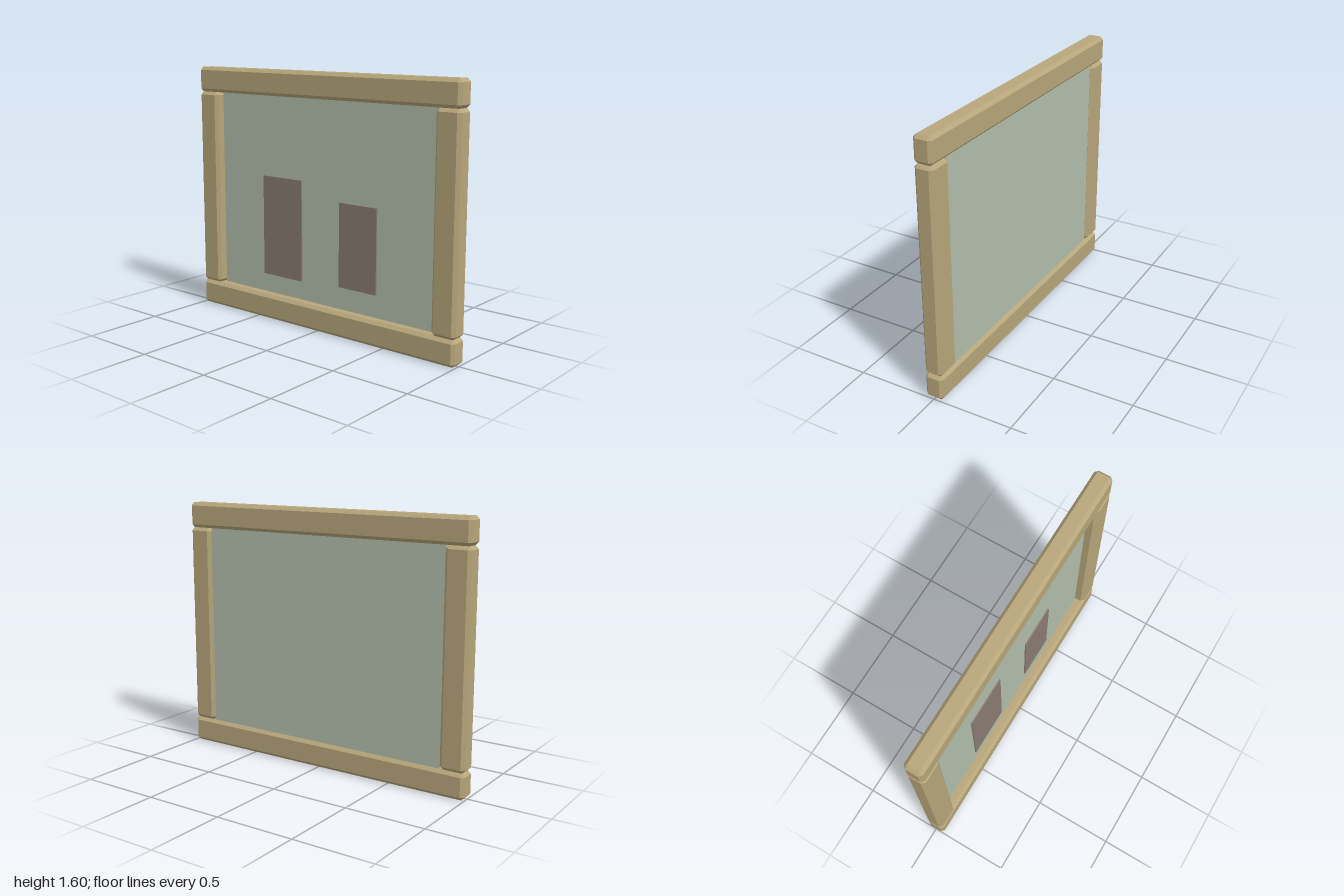
import * as THREE from 'three';
import { ConvexGeometry } from 'three/addons/geometries/ConvexGeometry.js';

const material = (name, color) => {
  const m = new THREE.MeshStandardMaterial({ color });
  m.name = name;
  return m;
};

// Box with every edge and corner cut off at 45 degrees
function chamferedBox(w, h, d, c) {
  const points = [];
  for (const sx of [-1, 1]) for (const sy of [-1, 1]) for (const sz of [-1, 1]) {
    for (let face = 0; face < 3; face++) {
      const inset = [c, c, c];
      inset[face] = 0;
      points.push(new THREE.Vector3(
        sx * (w / 2 - inset[0]),
        sy * (h / 2 - inset[1]),
        sz * (d / 2 - inset[2])
      ));
    }
  }
  return new ConvexGeometry(points);
}

export function createModel() {
  const model = new THREE.Group();
  model.name = 'noticeBoard';

  const wood = material('wood', 0xb8a67b);
  const board = material('paleGreenBoard', 0xb1beac);
  const paper = material('brownPaper', 0x8a7b73);

  const add = (name, geometry, mat, x, y, z) => {
    const mesh = new THREE.Mesh(geometry, mat);
    mesh.name = name;
    mesh.position.set(x, y, z);
    model.add(mesh);
  };

  // Frame: full-width rails with posts standing between them
  const bar = 0.16, depth = 0.116, cut = 0.02;
  const rail = chamferedBox(2, bar, depth, cut);
  const post = chamferedBox(bar, 1.28, depth, cut);
  add('bottomRail', rail, wood, 0, 0.08, 0);
  add('topRail', rail, wood, 0, 1.52, 0);
  add('leftPost', post, wood, 0.92, 0.8, 0);
  add('rightPost', post, wood, -0.92, 0.8, 0);

  // Board set towards the back of the frame
  add('boardPanel', new THREE.BoxGeometry(1.68, 1.28, 0.032), board, 0, 0.8, -0.021);

  // Two notices on the front of the board
  add('largeNotice', new THREE.BoxGeometry(0.32, 0.645, 0.008), paper, -0.32, 0.603, -0.001);
  add('smallNotice', new THREE.BoxGeometry(0.28, 0.525, 0.008), paper, 0.28, 0.563, -0.001);

  return model;
}
